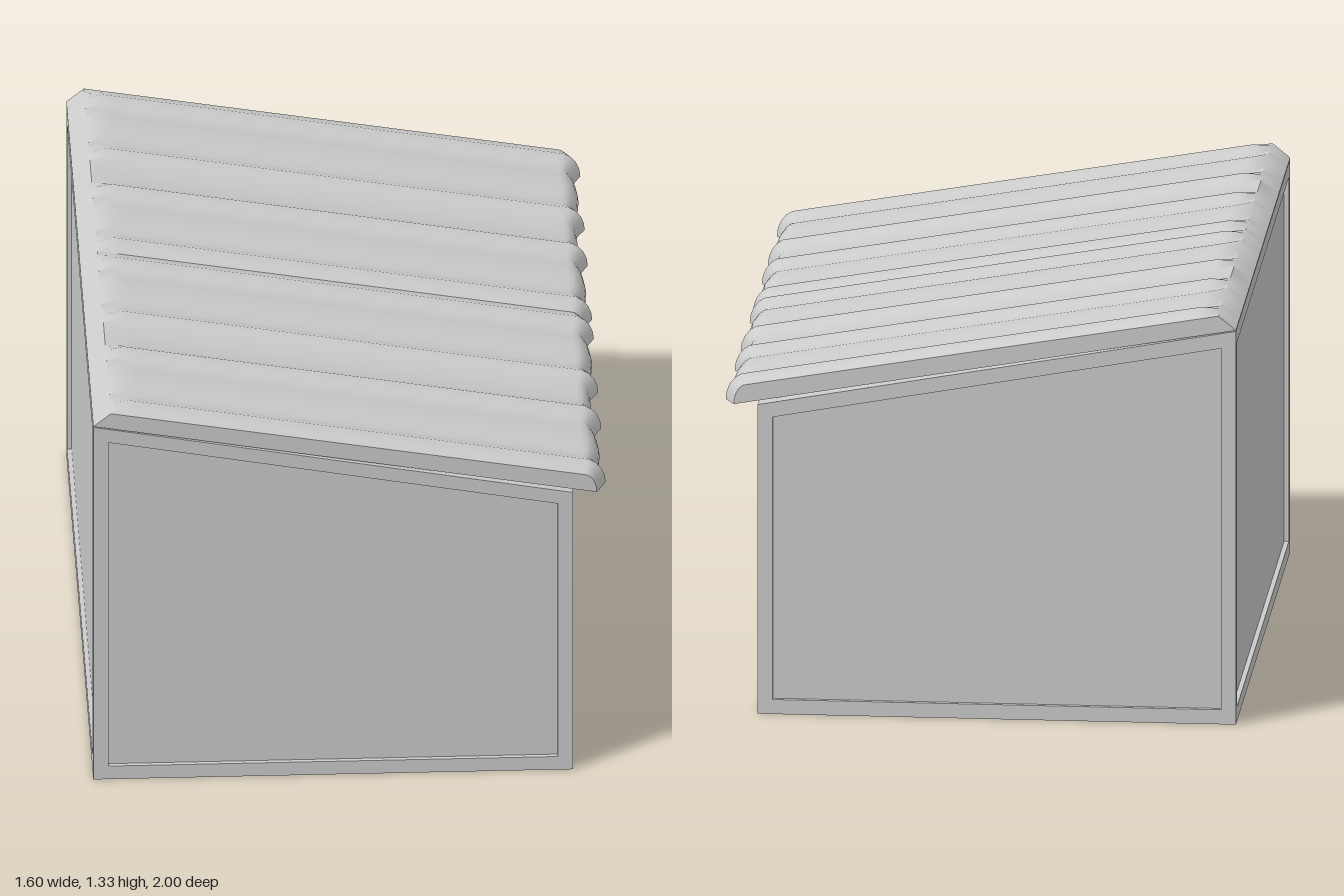
import * as THREE from 'three';
import { toCreasedNormals } from 'three/addons/utils/BufferGeometryUtils.js';

const material = new THREE.MeshStandardMaterial({ color: 0xcccccc });
const V = (x, y, z) => new THREE.Vector3(x, y, z);

function makeGeometry(points, index) {
  const g = new THREE.BufferGeometry();
  g.setAttribute('position', new THREE.Float32BufferAttribute(points.flatMap(p => [p.x, p.y, p.z]), 3));
  g.setIndex(index);
  return g;
}

// A wall with a border frame and a recessed panel; corners counter-clockwise from outside
function framedPanel(name, corners, border = 0.047, depth = 0.015) {
  const edge = (i, j) => corners[j].clone().sub(corners[i]).normalize();
  const normal = edge(0, 1).cross(edge(0, 3)).normalize();
  const inner = corners.map((p, i) => {
    const a = edge(i, (i + 1) % 4), b = edge(i, (i + 3) % 4);
    const reach = border / a.clone().cross(b).length();
    return p.clone().add(a.add(b).multiplyScalar(reach));
  });
  const sunk = inner.map(p => p.clone().addScaledVector(normal, -depth));
  const points = [...corners, ...inner, ...sunk];
  const index = [8, 9, 10, 8, 10, 11];
  for (const base of [0, 4]) {
    for (let i = 0; i < 4; i++) {
      const a = base + i, b = base + (i + 1) % 4;
      index.push(a, b, b + 4, a, b + 4, a + 4);
    }
  }
  const mesh = new THREE.Mesh(toCreasedNormals(makeGeometry(points, index), 0.1), material);
  mesh.name = name;
  return mesh;
}

// Height of the corrugation over one sheet, mirrored about its middle
const waves = [[0, 0], [0.03, 0.011], [0.06, 0.022], [0.09, 0.011], [0.12, 0.001], [0.16, 0.009], [0.22, 0.013],
  [0.28, 0.009], [0.33, 0.001], [0.36, 0.011], [0.39, 0.022], [0.415, 0.011], [0.44, 0.001], [0.5, 0.003]];
const sheetWaves = [...waves, ...waves.slice(0, -1).reverse().map(([z, h]) => [1 - z, h])];

// Roof cross-section: chamfered back, sloping top, rounded eave
function roofSection(z, h) {
  const slope = x => 1.064 - (x - 0.73) * 0.1735;
  const points = [V(-0.8, 1.275, z), V(-0.745, 1.32, z)];
  for (const x of [-0.69, -0.66, 0.69]) points.push(V(x, slope(x) + h, z));
  const width = 0.04 + h * 1.36, height = 0.064 + h;
  for (let i = 0; i <= 5; i++) {
    const t = i / 5 * Math.PI / 2;
    points.push(V(0.73 + Math.sin(t) * width, 1 + Math.cos(t) * height, z));
  }
  return points;
}

// One corrugated sheet, one unit wide, lofted along z
function roofSheet(name, z0) {
  const sections = sheetWaves.map(([z, h]) => roofSection(z0 + z, h));
  const n = sections[0].length, last = (sections.length - 1) * n;
  const index = [];
  for (let s = 0; s < last; s += n) {
    for (let j = 0; j < n; j++) {
      const a = s + j, b = s + (j + 1) % n;
      index.push(a, a + n, b, b, a + n, b + n);
    }
  }
  // End faces
  for (let j = 1; j < n - 1; j++) {
    index.push(0, j, j + 1, last, last + j + 1, last + j);
  }
  const mesh = new THREE.Mesh(toCreasedNormals(makeGeometry(sections.flat(), index), 0.8), material);
  mesh.name = name;
  return mesh;
}

export function createModel() {
  const model = new THREE.Group();
  model.name = 'shed';

  // Body: corners named by side (L = -x, R = +x), height and end (F = +z, B = -z)
  const xl = -0.8, xr = 0.695, tall = 1.272, low = 1;
  const LF = V(xl, 0, 1), RF = V(xr, 0, 1), RB = V(xr, 0, -1), LB = V(xl, 0, -1);
  const LFt = V(xl, tall, 1), RFt = V(xr, low, 1), RBt = V(xr, low, -1), LBt = V(xl, tall, -1);
  const body = new THREE.Group();
  body.name = 'body';
  body.add(
    framedPanel('frontWall', [LF, RF, RFt, LFt]),
    framedPanel('backWall', [RB, LB, LBt, RBt]),
    framedPanel('lowWall', [RF, RB, RBt, RFt]),
    framedPanel('tallWall', [LB, LF, LFt, LBt]),
    framedPanel('floor', [LB, RB, RF, LF]),
    framedPanel('ceiling', [LFt, RFt, RBt, LBt])
  );

  // Roof: two sheets meeting at the middle
  const roof = new THREE.Group();
  roof.name = 'roof';
  roof.add(roofSheet('frontRoofSheet', 0), roofSheet('backRoofSheet', -1));

  model.add(body, roof);
  return model;
}
